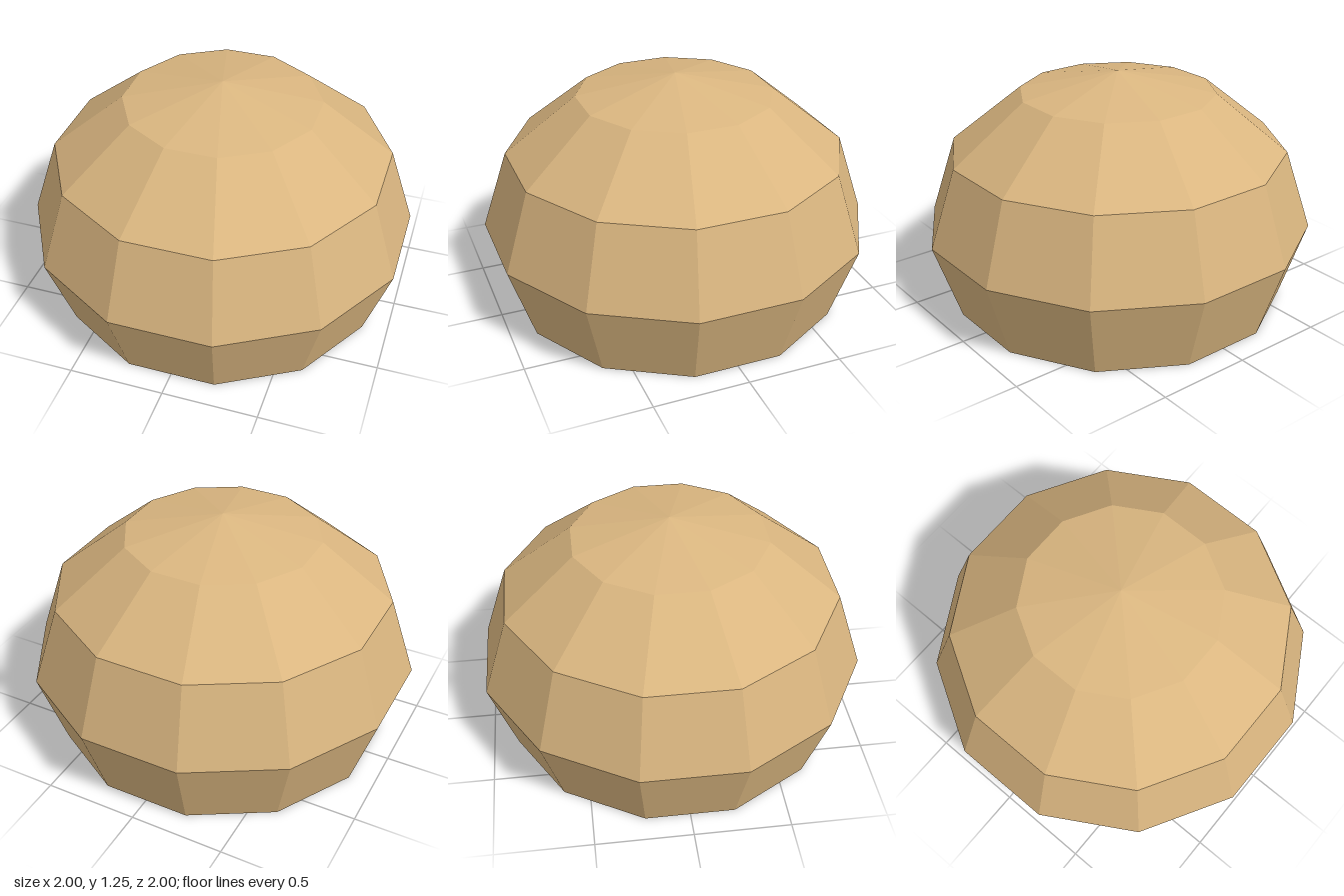
import * as THREE from 'three';

export function createModel() {
  const group = new THREE.Group();
  group.name = 'facetedDome';

  const tan = new THREE.MeshStandardMaterial({ color: 0xdab680, flatShading: true });
  tan.name = 'tan';

  // Twelve-sided dome: flat underside, tucked-in base, rounded shoulders and a low peak
  const sides = 12;
  const radius = 1 / Math.cos(Math.PI / sides);
  const profile = [
    [0, 0], [0.866, 0], [1, 0.418], [0.866, 0.837], [0.5, 1.143], [0, 1.25],
  ].map(([r, y]) => new THREE.Vector2(r * radius, y));

  // Half-step turn puts flat sides square to the axes
  const dome = new THREE.Mesh(new THREE.LatheGeometry(profile, sides, Math.PI / sides), tan);
  dome.name = 'dome';
  group.add(dome);
  return group;
}
